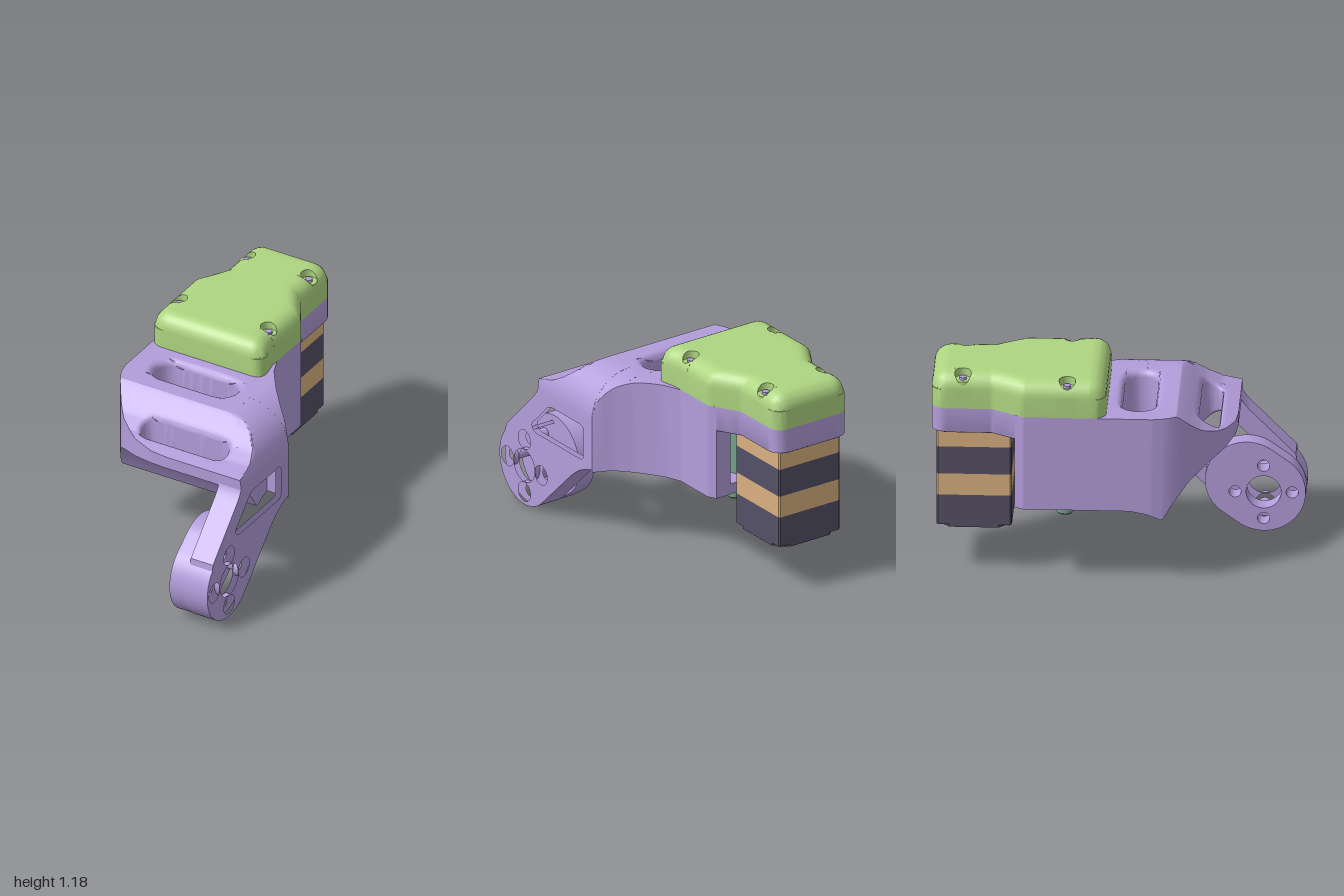
import * as THREE from 'three';
import { toCreasedNormals } from 'three/addons/utils/BufferGeometryUtils.js';

const PURPLE = 0xb39ddb, GREEN = 0xaed581, TEAL = 0x76a08a, DARK = 0x555066, TAN = 0xd9b080, BLACK = 0x24222c;
const mats = {};
const mat = c => (mats[c] ??= new THREE.MeshStandardMaterial({ color: c }));

// Piecewise linear function through [input, output] points
const lerp = pts => v => {
  for (let i = 1; i < pts.length; i++) {
    const [a, p] = pts[i - 1], [b, q] = pts[i];
    if (v <= b) return v <= a ? p : p + (q - p) * (v - a) / (b - a);
  }
  return pts[pts.length - 1][1];
};
const ease = (a, b, n) => Array.from({ length: n + 1 }, (_, i) => a + (b - a) * (1 - Math.cos(Math.PI * i / n)) / 2);

// Stadium slot along x, cut vertically through a field
const slot = (x0, x1, z, r, f = 0) => ({
  z0: z - r, z1: z + r, f,
  span(v) { const h = Math.sqrt(Math.max(0, r * r - (v - z) ** 2)); return [x0 - h, x1 + h]; },
  // depth of the rounded rim at a point
  rim(x, v) {
    if (!f) return 0;
    const d = Math.hypot(x - Math.min(Math.max(x, x0), x1), v - z) - r;
    const q = Math.min(f, Math.max(0, f - d));
    return f - Math.sqrt(f * f - q * q);
  },
});

// Solid between top(x,z) and bot(x,z) over a plan bounded by left(z) and right(z)
function field({ z0, z1, left, right, top, bot, slots = [], rows = [], n = 24 }) {
  let zs = [...ease(z0, z1, 36), ...rows];
  for (const s of slots) zs.push(...ease(s.z0, s.z1, 12), ...(s.f ? [0.2, 0.5, 1].flatMap(k => [s.z0 - s.f * k, s.z1 + s.f * k]) : []));
  zs = zs.filter(z => z >= z0 && z <= z1).sort((a, b) => a - b).filter((z, i, a) => !i || z - a[i - 1] > 1e-5);
  const pos = [];
  const quad = (a, b, c, d, flip) => pos.push(...(flip ? [a, c, b, a, d, c] : [a, b, c, a, c, d]).flat());
  const T = (x, z) => [x, top(x, z), z], B = (x, z) => [x, bot(x, z), z];
  const wallZ = (xs, z, flip) => {
    for (let i = 0; i < xs.length - 1; i++) quad(B(xs[i], z), T(xs[i], z), T(xs[i + 1], z), B(xs[i + 1], z), flip);
  };
  for (let i = 0; i < zs.length - 1; i++) {
    const a = zs[i], b = zs[i + 1], mid = (a + b) / 2;
    const on = slots.filter(s => mid > s.z0 && mid < s.z1);
    const bounds = z => [left(z), ...on.flatMap(s => s.span(z)), right(z)];
    const ba = bounds(a), bb = bounds(b);
    for (let k = 0; k < ba.length; k += 2) {
      const xa = ease(ba[k], ba[k + 1], n), xb = ease(bb[k], bb[k + 1], n);
      for (let j = 0; j < n; j++) {
        quad(T(xa[j], a), T(xb[j], b), T(xb[j + 1], b), T(xa[j + 1], a));
        quad(B(xa[j], a), B(xb[j], b), B(xb[j + 1], b), B(xa[j + 1], a), true);
      }
      quad(B(xa[0], a), B(xb[0], b), T(xb[0], b), T(xa[0], a));
      quad(B(xa[n], a), B(xb[n], b), T(xb[n], b), T(xa[n], a), true);
      if (i === 0) wallZ(xa, a, false);
      if (i === zs.length - 2) wallZ(xb, b, true);
    }
  }
  for (const s of slots) {
    if (s.z0 > z0) wallZ(ease(...s.span(s.z0), n), s.z0, true);
    if (s.z1 < z1) wallZ(ease(...s.span(s.z1), n), s.z1, false);
  }
  const g = new THREE.BufferGeometry();
  g.setAttribute('position', new THREE.Float32BufferAttribute(pos, 3));
  return toCreasedNormals(g, 0.55);
}

// Shape drawn in (z, y), extruded from x = a to x = b
function plate(shape, a, b) {
  const g = new THREE.ExtrudeGeometry(shape, { depth: b - a, bevelEnabled: false, curveSegments: 32 });
  return toCreasedNormals(g.rotateY(-Math.PI / 2).translate(b, 0, 0), 0.5);
}
function roundedPath(pts, r) {
  const p = new THREE.Path(), v = pts.map(q => new THREE.Vector2(...q));
  v.forEach((c, i) => {
    const toward = o => c.clone().add(o.clone().sub(c).setLength(r));
    const a = toward(v[(i + v.length - 1) % v.length]), b = toward(v[(i + 1) % v.length]);
    i ? p.lineTo(a.x, a.y) : p.moveTo(a.x, a.y);
    p.quadraticCurveTo(c.x, c.y, b.x, b.y);
  });
  return p.closePath();
}

export function createModel() {
  const root = new THREE.Group();
  const add = (name, geo, color, x = 0, y = 0, z = 0) => {
    const m = new THREE.Mesh(geo, mat(color));
    m.name = name;
    m.position.set(x, y, z);
    root.add(m);
    return m;
  };
  const cyl = (r, h, r2 = r, n = 32) => new THREE.CylinderGeometry(r, r2, h, n);

  // Bracket body: sloping top, arched underside, two slots and a rear gear bay
  const sideTop = lerp([[0.33, 0.985], [0.36, 0.965], [0.4, 0.92], [0.46, 0.87], [0.54, 0.825], [0.645, 0.8]]);
  const sideBot = lerp([[0.08, 0.44], [0.18, 0.42], [0.25, 0.387], [0.26, 0.392], [0.31, 0.473], [0.4, 0.59], [0.495, 0.66], [0.58, 0.7], [0.645, 0.73]]);
  const shoulder = x => x > 0.25 ? 0.74 + Math.sqrt(Math.max(0, 0.245 ** 2 - (x - 0.25) ** 2)) : 0.985;
  const slots = [slot(-0.27, 0.06, 0.12, 0.09, 0.04), slot(-0.165, 0.265, 0.495, 0.055, 0.025), slot(-0.2, -0.11, -0.45, 0.2)];
  const rim = (x, z) => slots.reduce((s, q) => s + q.rim(x, z), 0);
  add('bracketBody', field({
    z0: -0.545, z1: 0.645, slots,
    left: lerp([[-0.545, -0.475], [-0.5, -0.5], [0.2, -0.5], [0.28, -0.485], [0.36, -0.44], [0.43, -0.39], [0.49, -0.34], [0.587, -0.21], [0.635, -0.08], [0.645, 0.03]]),
    right: lerp([[-0.545, 0.16], [-0.5, 0.185], [-0.25, 0.185], [-0.15, 0.225], [-0.015, 0.32], [0.07, 0.4], [0.145, 0.495], [0.1455, 0.36]]),
    top: (x, z) => Math.min(sideTop(z), shoulder(x)) - rim(x, z),
    bot: (x, z) => sideBot(z) + rim(x, z),
    rows: [-0.5, 0.145, 0.1455, 0.25, 0.26, 0.33, 0.635],
  }), PURPLE);
  add('bracketShoulder', field({
    z0: 0.1455, z1: 0.645, left: () => 0.36, right: () => 0.495,
    top: (x, z) => Math.min(sideTop(z), shoulder(x)), bot: () => 0.73, rows: [0.33],
  }), PURPLE);

  // Side leg with window, round joint end and counterbored bolt holes
  const joint = [0.77, 0.235];
  const drill = (shape, boltR) => {
    const hole = (z, y, r) => shape.holes.push(new THREE.Path().absarc(z, y, r, 0, Math.PI * 2, true));
    hole(...joint, 0.095);
    for (const [dz, dy] of [[1, 0], [-1, 0], [0, 1], [0, -1]]) hole(joint[0] + dz * 0.155, joint[1] + dy * 0.155, boltR);
    return shape;
  };
  const legShape = boltR => {
    const s = new THREE.Shape();
    s.moveTo(0.1455, 0.44).lineTo(0.1455, 0.74).lineTo(0.645, 0.74);
    s.quadraticCurveTo(0.66, 0.705, 0.7, 0.665).lineTo(0.94, 0.42);
    s.absarc(...joint, 0.23, 0.7, -2.35, true);
    s.lineTo(0.36, 0.315).quadraticCurveTo(0.25, 0.425, 0.1455, 0.44);
    s.holes.push(roundedPath([[0.225, 0.47], [0.225, 0.675], [0.54, 0.675], [0.71, 0.505], [0.68, 0.47]], 0.033));
    return drill(s, boltR);
  };
  add('legInner', plate(legShape(0.033), 0.355, 0.46), PURPLE);
  add('legOuter', plate(legShape(0.056), 0.46, 0.495), PURPLE);
  const lean = Math.atan2(0.065, -0.09), pad = new THREE.Shape();
  pad.absarc(...joint, 0.228, lean + Math.PI / 2, lean + Math.PI * 1.5, false);
  pad.absarc(0.68, 0.3, 0.228, lean - Math.PI / 2, lean + Math.PI / 2, false);
  add('jointPad', plate(drill(pad, 0.033), 0.255, 0.356), PURPLE);

  // Rear tray and rounded cover share one outline
  const z0 = -1, z1 = -0.05, R = 0.09;
  const baseL = lerp([[-1, -0.4], [-0.67, -0.4], [-0.5, -0.5]]);
  const baseR = lerp([[-1, 0.085], [-0.67, 0.085], [-0.5, 0.185], [-0.2, 0.185], [-0.05, 0.215]]);
  const endGap = z => Math.min(z - z0, z1 - z);
  const corner = z => { const q = Math.max(0, 0.07 - endGap(z)); return 0.07 - Math.sqrt(Math.max(0, 0.0049 - q * q)); };
  const outline = { z0, z1, left: z => baseL(z) + corner(z), right: z => baseR(z) - corner(z), rows: [-0.98, -0.95, -0.91, -0.67, -0.5, -0.2, -0.14, -0.1, -0.07] };
  const inset = (x, z) => Math.min(R, Math.hypot(Math.max(0, R - endGap(z)), Math.max(0, R - Math.min(x - baseL(z), baseR(z) - x))));
  const fillet = (x, z, y) => y + Math.sqrt(R * R - inset(x, z) ** 2);
  add('motorTray', field({ ...outline, top: () => 0.985, bot: (x, z) => 0.83 + 0.2 * (R - Math.sqrt(R * R - inset(x, z) ** 2)) }), PURPLE);
  const screws = [[-0.352, -0.83], [0.037, -0.83], [-0.44, -0.26], [0.125, -0.26]];
  const pockets = [0, 2].map(i => screws.slice(i, i + 2)).flat().map(([x, z]) => slot(x, x, z, 0.045));
  add('cover', field({ ...outline, slots: pockets, top: (x, z) => fillet(x, z, 1.095), bot: () => 0.985 }), GREEN);
  for (const [x, z] of screws) {
    add('screwSeat', cyl(0.0455, 0.1), GREEN, x, 1.09, z);
    add('screw', cyl(0.02, 0.02), PURPLE, x, 1.145, z);
  }

  // Stacked motor with chamfered corners
  const block = (y0, y1, c) => {
    const w = 0.203, s = new THREE.Shape();
    [[w - c, -w], [w, c - w], [w, w - c], [w - c, w], [c - w, w], [-w, w - c], [-w, c - w], [c - w, -w]]
      .forEach(([x, y], i) => i ? s.lineTo(x, y) : s.moveTo(x, y));
    return new THREE.ExtrudeGeometry(s, { depth: y1 - y0, bevelEnabled: false }).rotateX(-Math.PI / 2).translate(-0.154, y0, -0.77);
  };
  [[0.28, 0.455, DARK], [0.455, 0.58, TAN], [0.58, 0.74, DARK], [0.74, 0.84, TAN]]
    .forEach(([a, b, c]) => add('motorSection', block(a, b, 0.008), c));
  add('motorBase', block(0.265, 0.28, 0.07), DARK);
  add('motorBore', cyl(0.045, 0.01), BLACK, -0.154, 0.268, -0.77);
  for (const sx of [-1, 1]) for (const sz of [-1, 1])
    add('motorBolt', cyl(0.018, 0.02), BLACK, -0.154 + sx * 0.15, 0.274, -0.77 + sz * 0.15);

  // Gear bay floor, gear, bearing and output shaft
  add('bayFloor', new THREE.BoxGeometry(0.55, 0.06, 0.335), PURPLE, -0.155, 0.472, -0.375);
  add('gear', cyl(0.13, 0.33), TEAL, -0.155, 0.66, -0.41);
  const ring = add('bearingRing', new THREE.TorusGeometry(0.155, 0.014, 10, 40), PURPLE, -0.154, 0.44, -0.285);
  ring.rotation.x = Math.PI / 2;
  add('bearing', cyl(0.145, 0.02), 0x3f5a4c, -0.154, 0.442, -0.285);
  add('bearingInner', cyl(0.085, 0.02), TEAL, -0.154, 0.438, -0.285);
  for (let i = 0; i < 4; i++) {
    const a = Math.PI * (0.25 + i / 2);
    add('bearingScrew', cyl(0.022, 0.02), PURPLE, -0.154 + 0.2 * Math.cos(a), 0.438, -0.285 + 0.2 * Math.sin(a));
  }
  add('shaft', cyl(0.047, 0.22), TEAL, -0.154, 0.395, -0.285);
  add('shaftTip', cyl(0.047, 0.01, 0.038), TEAL, -0.154, 0.281, -0.285);
  return root;
}
